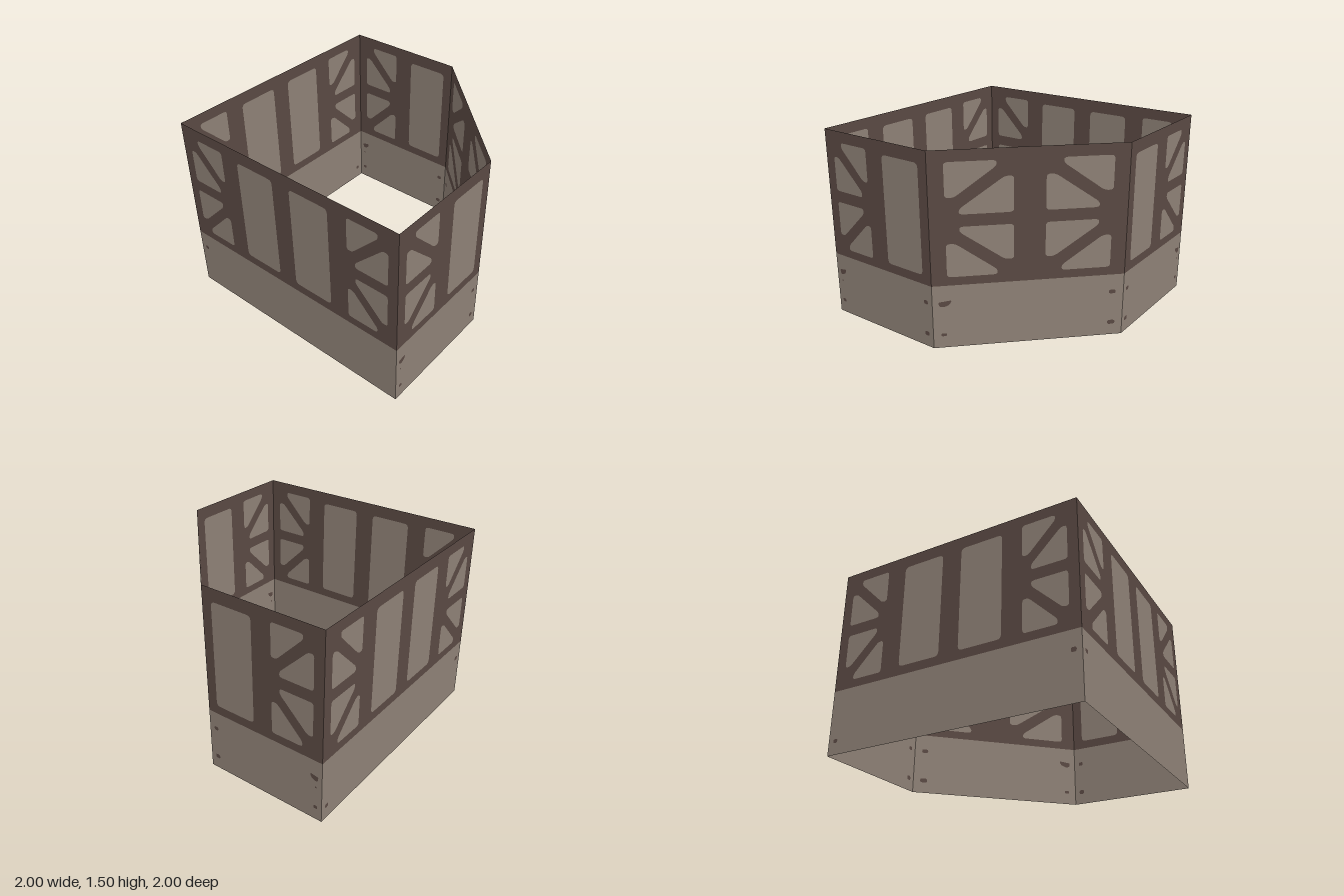
import * as THREE from 'three';

const mat = (name, color) =>
  Object.assign(new THREE.MeshStandardMaterial({ color, side: THREE.DoubleSide }), { name });

// Corner-rounded closed outline, used both as a hole and as the panel that fills it
function rounded(points, r) {
  const pts = points.map(([x, y]) => new THREE.Vector2(x, y));
  const shape = new THREE.Shape();
  pts.forEach((p, i) => {
    const prev = pts[(i + pts.length - 1) % pts.length];
    const next = pts[(i + 1) % pts.length];
    const cut = (q) => p.clone().lerp(q, Math.min(r / p.distanceTo(q), 0.45));
    const a = cut(prev), b = cut(next);
    if (i === 0) shape.moveTo(a.x, a.y);
    else shape.lineTo(a.x, a.y);
    shape.quadraticCurveTo(p.x, p.y, b.x, b.y);
  });
  shape.closePath();
  return shape;
}

const rect = (x0, x1, y0, y1) => [[x0, y0], [x1, y0], [x1, y1], [x0, y1]];

// Upper two infill pieces beside a diagonal brace; the lower two mirror them
const MID = 0.99;
const BRACE = [
  [[0.08, 1.415], [0.335, 1.415], [0.335, 1.375], [0.125, 1.16], [0.08, 1.16]],
  [[0.42, 1.035], [0.148, 1.035], [0.148, 1.075], [0.375, 1.3], [0.42, 1.3]],
];

// Outlines in one half-unit bay: L = braced, R = braced and mirrored, W = tall panel
function bay(type, offset) {
  if (type === 'W') return [rounded(rect(offset + 0.08, offset + 0.42, 0.57, 1.4), 0.035)];
  const place = ([x, y]) => [offset + (type === 'R' ? 0.5 - x : x), y];
  return BRACE.flatMap((piece) => [
    rounded(piece.map(place), 0.025),
    rounded(piece.map(([x, y]) => place([x, 2 * MID - y])), 0.025),
  ]);
}

// Stains in the plinth
function dot(x, y, r) {
  return rounded(rect(x - r, x + r, y - r * 0.85, y + r * 0.85), r * 0.7);
}
const BLOB = [[0.03, 0.37], [0.1, 0.382], [0.09, 0.35], [0.06, 0.33], [0.036, 0.335]];
const endStains = (at) => [
  rounded(BLOB.map(([x, y]) => [at(x), y]), 0.012), dot(at(0.05), 0.278, 0.007), dot(at(0.052), 0.105, 0.016),
];
const dotPair = (x) => [dot(x, 0.36, 0.018), dot(x, 0.105, 0.02)];

export function createModel() {
  const model = new THREE.Group();
  model.name = 'timberFramedEnclosure';
  const timber = mat('darkTimber', 0x5a4943);
  const plaster = mat('plaster', 0x8e8176);

  // Walls run left to right as seen from outside
  const walls = [
    { name: 'frontWall', from: [-1, 1], to: [0, 1], bays: 'RW',
      stains: [...endStains((x) => x), ...dotPair(0.94)] },
    { name: 'diagonalWall', from: [0, 1], to: [1, 0], bays: 'LR',
      stains: [rounded(BLOB, 0.012), dot(0.055, 0.105, 0.014), ...dotPair(0.94)] },
    { name: 'rightSideWall', from: [1, 0], to: [1, -1], bays: 'WL',
      stains: [...endStains((x) => 1 - x), ...dotPair(0.06)] },
    { name: 'backWall', from: [1, -1], to: [-1, -1], bays: 'RWWL',
      stains: [dot(0.06, 0.105, 0.018), dot(1.94, 0.36, 0.02)] },
    { name: 'leftSideWall', from: [-1, -1], to: [-1, 1], bays: 'RWWL',
      stains: [dot(0.06, 0.36, 0.018)] },
  ];

  for (const { name, from, to, bays, stains } of walls) {
    const wall = new THREE.Group();
    wall.name = name;
    const units = bays.length / 2;
    const dx = to[0] - from[0], dz = to[1] - from[1];
    const add = (part, shapes, material) => {
      const mesh = new THREE.Mesh(new THREE.ShapeGeometry(shapes, 4), material);
      mesh.name = part;
      wall.add(mesh);
    };
    const sheet = (y0, y1, holes) => {
      const s = new THREE.Shape(rect(0, units, y0, y1).map(([x, y]) => new THREE.Vector2(x, y)));
      s.holes.push(...holes);
      return s;
    };
    const panels = [...bays].flatMap((type, i) => bay(type, i * 0.5));
    add('timberFrame', sheet(0.5, 1.5, panels), timber);
    add('infillPanels', panels, plaster);
    add('plinth', sheet(0, 0.5, stains), plaster);
    add('plinthStains', stains, timber);

    wall.scale.x = Math.hypot(dx, dz) / units;
    wall.rotation.y = Math.atan2(-dz, dx);
    wall.position.set(from[0], 0, from[1]);
    model.add(wall);
  }
  return model;
}
